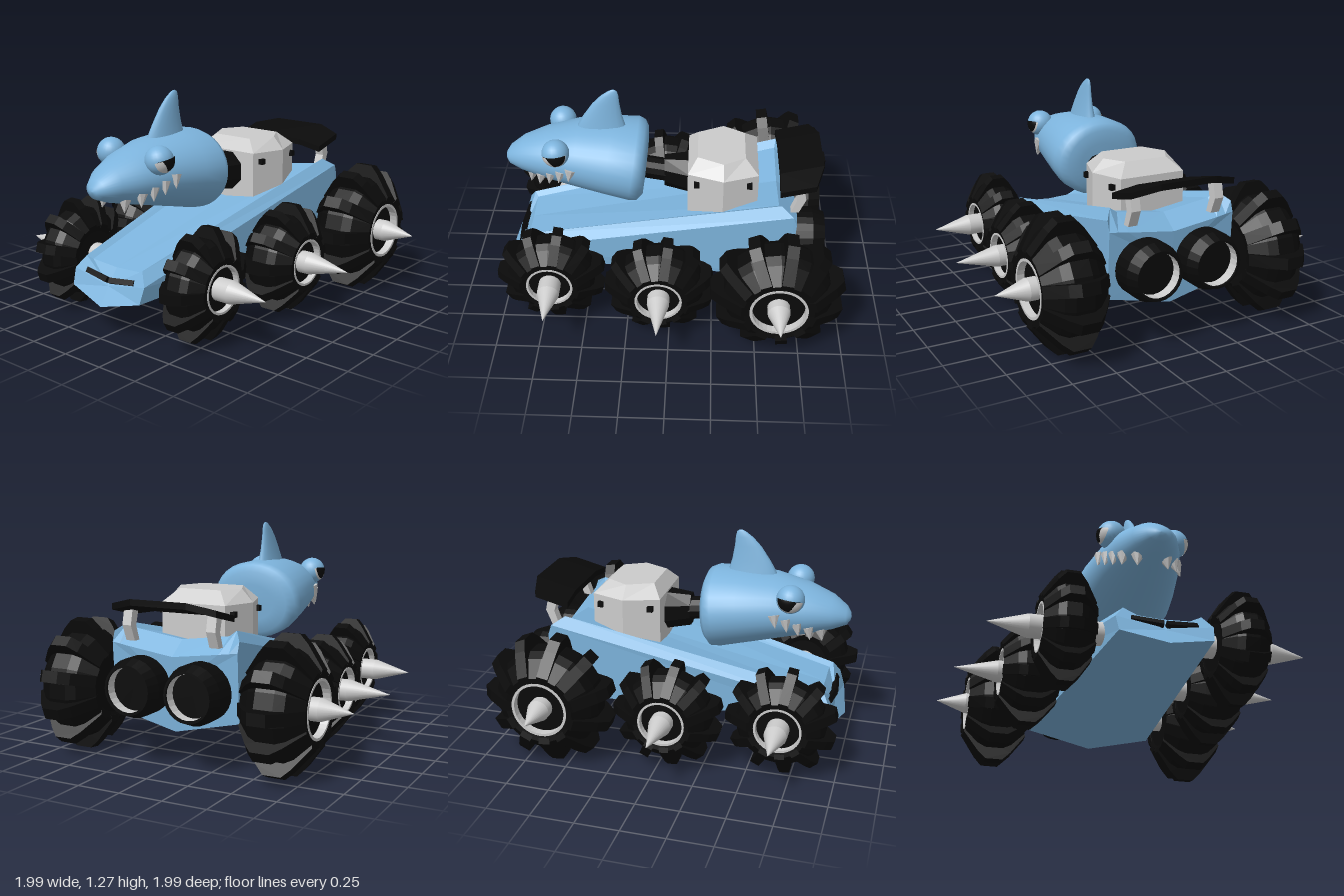
import * as THREE from 'three';

const BLUE = 0x7db4dd, BLACK = 0x0a0a0a;
const V = (x, y, z) => new THREE.Vector3(x, y, z);

const mat = (color = 0xcccccc, flat = true) =>
  new THREE.MeshStandardMaterial({ color, flatShading: flat, side: THREE.DoubleSide });
const GREY = mat(), SMOOTH_GREY = mat(0xcccccc, false), DARK = mat(BLACK), SKIN = mat(BLUE, false), PAINT = mat(BLUE);

function add(parent, name, geometry, material, x = 0, y = 0, z = 0) {
  const m = new THREE.Mesh(geometry, material);
  m.name = name;
  m.position.set(x, y, z);
  parent.add(m);
  return m;
}

// Skin over a series of rings that all have the same number of points
function loft(rings) {
  const n = rings[0].length, idx = [];
  for (let i = 0; i < rings.length - 1; i++) {
    for (let j = 0; j < n; j++) {
      const a = i * n + j, b = i * n + (j + 1) % n;
      idx.push(a, a + n, b, b, a + n, b + n);
    }
  }
  const g = new THREE.BufferGeometry().setFromPoints(rings.flat());
  g.setIndex(idx);
  g.computeVertexNormals();
  return g;
}
const point = (n, p) => Array.from({ length: n }, () => p.clone());

// Rod or cone between two points
function rod(parent, name, a, b, r0, r1, sides, material) {
  const d = b.clone().sub(a);
  const m = add(parent, name, new THREE.CylinderGeometry(r1, r0, d.length(), sides), material);
  m.position.copy(a).add(b).multiplyScalar(0.5);
  m.quaternion.setFromUnitVectors(V(0, 1, 0), d.normalize());
}

function buildHull() {
  const g = new THREE.Group();
  g.name = 'hull';
  // half section: keel, chine, side top, ridge, deck edge, deck centre
  const ring = (pts) => {
    const p = pts.map((c) => V(...c));
    return [...p, ...p.slice(1, 5).reverse().map((q) => V(q.x, q.y, -q.z))];
  };
  const front = ring([[-0.99, 0.18, 0], [-0.95, 0.24, 0.25], [-0.92, 0.33, 0.26], [-0.88, 0.4, 0.21], [-0.86, 0.38, 0.18], [-0.86, 0.37, 0]]);
  const rear = ring([[0.7, 0.18, 0], [0.7, 0.27, 0.39], [0.7, 0.71, 0.39], [0.63, 0.755, 0.34], [0.62, 0.72, 0.29], [0.62, 0.68, 0]]);
  const crease = ring([[0.7, 0.18, 0], [0.7, 0.27, 0.39], [0.72, 0.65, 0.39], [0.725, 0.645, 0.34], [0.73, 0.637, 0.28], [0.73, 0.6, 0]]);
  add(g, 'hullShell', loft([point(10, V(-0.925, 0.28, 0)), front, rear, crease, point(10, V(0.715, 0.42, 0))]), PAINT);
  for (const s of [-1, 1]) {
    const slot = add(g, 'frontSlot', new THREE.BoxGeometry(0.04, 0.03, 0.17), DARK, -0.908, 0.318, s * 0.092);
    slot.rotation.set(s * -0.1, s * 0.1, -0.5);
  }
  return g;
}

function buildWheel(R, H, axleFrom, spikeFrom, spikeTip) {
  const g = new THREE.Group();
  const lathe = (pts, seg) => new THREE.LatheGeometry(pts.map(([r, y]) => new THREE.Vector2(r * R, y * H)), seg).rotateX(Math.PI / 2);
  add(g, 'tyre', lathe([[0, -0.9], [0.42, -0.9], [0.52, -0.97], [0.74, -0.55], [0.81, -0.28], [0.81, 0.28], [0.74, 0.55],
    [0.52, 0.97], [0.42, 0.93], [0.42, 0.72], [0, 0.72]], 22), DARK);
  add(g, 'rimRing', lathe([[0.43, 0.72], [0.43, 0.95], [0.39, 0.95], [0.39, 0.72]], 32), GREY);
  // Tread lugs follow the bevelled tyre section
  const section = new THREE.Shape([[0.46, -0.95], [0.55, -1], [0.87, -0.53], [1, -0.27], [1, 0.27], [0.87, 0.53], [0.55, 1], [0.46, 0.95]]
    .map(([r, y]) => new THREE.Vector2(r * R, y * H)));
  const count = 11, w = R * 0.175;
  const lug = new THREE.ExtrudeGeometry(section, { depth: w, bevelEnabled: false }).rotateX(Math.PI / 2).translate(0, w / 2, 0);
  for (let i = 0; i < count; i++) {
    add(g, 'treadLug', lug, DARK).rotation.z = (i + 0.45) * Math.PI * 2 / count;
  }
  rod(g, 'axle', V(0, 0, axleFrom), V(0, 0, spikeFrom), 0.063, 0.063, 24, SMOOTH_GREY);
  rod(g, 'hubSpike', V(0, 0, spikeFrom), V(0, 0, spikeTip), 0.063, 0.001, 24, SMOOTH_GREY);
  return g;
}

function buildHead() {
  const g = new THREE.Group();
  g.name = 'head';
  g.position.z = -0.035;
  const n = 32;
  // top x, top y, bottom x, bottom y, half width
  const stations = [
    [-0.985, 0.835, -0.985, 0.79, 0.03], [-0.96, 0.872, -0.965, 0.765, 0.07], [-0.88, 0.93, -0.89, 0.735, 0.125],
    [-0.74, 0.985, -0.76, 0.7, 0.185], [-0.55, 1.03, -0.6, 0.66, 0.235], [-0.35, 1.04, -0.4, 0.61, 0.273],
    [-0.2, 1.037, -0.265, 0.575, 0.29], [-0.16, 1.02, -0.215, 0.567, 0.27], [-0.142, 0.98, -0.177, 0.6, 0.225], [-0.142, 0.9, -0.166, 0.68, 0.14],
  ].map(([tx, ty, bx, by, w]) => Array.from({ length: n }, (_, i) => {
    const a = i / n * Math.PI * 2, c = -Math.cos(a) / 2;
    return V((tx + bx) / 2 + (tx - bx) * c, (ty + by) / 2 + (ty - by) * c, w * Math.sin(a));
  }));
  add(g, 'headShell', loft([point(n, V(-0.99, 0.812, 0)), ...stations, point(n, V(-0.153, 0.79, 0))]), SKIN);

  // Dorsal fin: height, rear x, front x, half thickness
  const fin = [[1.0, -0.265, -0.56, 0.055], [1.04, -0.275, -0.55, 0.047], [1.1, -0.292, -0.515, 0.036], [1.18, -0.305, -0.46, 0.025],
    [1.23, -0.309, -0.412, 0.018], [1.26, -0.316, -0.37, 0.011], [1.27, -0.33, -0.35, 0.003]]
    .map(([y, x1, x0, t]) => Array.from({ length: 16 }, (_, i) => {
      const a = i / 16 * Math.PI * 2;
      return V((x0 + x1) / 2 + (x1 - x0) / 2 * Math.cos(a), y, t * Math.sin(a));
    }));
  add(g, 'dorsalFin', loft([...fin, point(16, V(-0.342, 1.271, 0))]), SKIN);

  for (const s of [-1, 1]) {
    // Eye with a heavy lid: only the lower half of the white and pupil shows
    const eye = new THREE.Group();
    eye.name = 'eye';
    eye.position.set(-0.665, 0.95, s * 0.18);
    eye.rotation.set(s * -0.22, s * -0.1, 0.12);
    add(eye, 'eyeLid', new THREE.SphereGeometry(0.08, 24, 16), SKIN);
    const cap = (r, angle) => new THREE.SphereGeometry(r, 20, 8, s > 0 ? 0 : Math.PI, Math.PI, 0, angle).rotateX(s * Math.PI / 2);
    add(eye, 'eyeWhite', cap(0.081, 1.05), SMOOTH_GREY);
    add(eye, 'pupil', cap(0.083, 0.9), mat(BLACK, false), 0.004, 0.002, 0);
    g.add(eye);

    // Row of teeth along the jaw line
    for (let i = 0; i < 5; i++) {
      const t = i / 4, x = -0.825 + 0.245 * t, y = 0.735 + 0.11 * t;
      const z = s * (0.08 + 0.145 * Math.pow(t, 0.6));
      rod(g, 'tooth', V(x, y + 0.015, z * 0.97), V(x - 0.015, y - 0.055, z * 1.06), 0.036, 0.001, 8, GREY);
    }
  }
  return g;
}

function buildEngine() {
  const g = new THREE.Group();
  g.name = 'engine';
  const hex = (y, x0, x1, z, zm) => [[x1, z], [0.3, zm], [x0, z], [x0, -z], [0.3, -zm], [x1, -z]].map(([x, w]) => V(x, y, w));
  add(g, 'engineBlock', loft([hex(0.54, 0.095, 0.502, 0.2, 0.27), hex(0.86, 0.095, 0.502, 0.2, 0.27),
    hex(0.933, 0.15, 0.425, 0.13, 0.2), point(6, V(0.3, 0.933, 0))]), GREY);
  for (const s of [-1, 1]) {
    for (const x of [0.147, 0.45]) add(g, 'engineBolt', new THREE.BoxGeometry(0.032, 0.032, 0.04), DARK, x, 0.807, s * 0.22);
  }
  // Neck linking the engine to the head: an eight-sided collar and a rod
  const collar = (x, y, h, w) => Array.from({ length: 8 }, (_, i) => {
    const a = (i + 0.5) / 4 * Math.PI;
    return V(x, y - h * Math.cos(a), w * Math.sin(a));
  });
  add(g, 'neckCollar', loft([point(8, V(-0.045, 0.745, 0)), collar(-0.045, 0.745, 0.103, 0.07), collar(0.11, 0.735, 0.125, 0.125)]), DARK);
  rod(g, 'neckRod', V(-0.02, 0.745, 0), V(-0.17, 0.77, 0), 0.068, 0.068, 12, DARK);
  return g;
}

function buildTail() {
  const g = new THREE.Group();
  g.name = 'tail';
  // Spoiler blade: thick plank with shortened, slightly drooping ends
  const slice = ([z, x0, x1, drop]) => [[x0, 0], [x0, -0.035], [x1, -0.035], [x1, 0]]
    .map(([x, y]) => V(x, 0.857 + (x - 0.62) * 0.25 + y - drop, z));
  const blade = [[-0.32, 0.62, 0.82, 0.025], [-0.17, 0.625, 0.87, 0], [0.17, 0.625, 0.87, 0], [0.32, 0.62, 0.82, 0.025]].map(slice);
  add(g, 'spoilerBlade', loft([point(4, V(0.72, 0.84, -0.32)), ...blade, point(4, V(0.72, 0.84, 0.32))]), DARK);
  const strut = new THREE.Shape([[0.69, 0.67], [0.735, 0.67], [0.772, 0.76], [0.752, 0.85], [0.695, 0.84], [0.72, 0.755]]
    .map(([x, y]) => new THREE.Vector2(x, y)));
  const strutGeo = new THREE.ExtrudeGeometry(strut, { depth: 0.055, bevelEnabled: false });
  const pipe = (pts) => new THREE.LatheGeometry(pts.map(([r, y]) => new THREE.Vector2(r, y)), 24).rotateZ(-Math.PI / 2);
  for (const s of [-1, 1]) {
    add(g, 'spoilerStrut', strutGeo, GREY, 0, 0, s * 0.26 - 0.0275);
    // Hollow exhaust with a bright inner sleeve
    add(g, 'exhaustPipe', pipe([[0, 0.66], [0.165, 0.66], [0.165, 0.83], [0.138, 0.9], [0.125, 0.9], [0.125, 0.83], [0, 0.83]]), DARK, 0, 0.43, s * 0.185);
    add(g, 'exhaustSleeve', pipe([[0.123, 0.89], [0.123, 0.83]]), GREY, 0, 0.43, s * 0.185);
  }
  return g;
}

export function createModel() {
  const model = new THREE.Group();
  model.name = 'sharkBuggy';
  model.add(buildHull(), buildHead(), buildEngine(), buildTail());

  // name, x, y, radius, inner z, outer z, spike base z, spike tip z
  const wheels = [
    ['front', -0.685, 0.332, 0.311, 0.33, 0.61, 0.66, 0.87],
    ['middle', -0.055, 0.332, 0.311, 0.38, 0.71, 0.72, 0.96],
    ['rear', 0.615, 0.38, 0.378, 0.44, 0.82, 0.82, 0.995],
  ];
  for (const [name, x, y, R, z0, z1, base, tip] of wheels) {
    const mid = (z0 + z1) / 2;
    for (const s of [-1, 1]) {
      const w = buildWheel(R, (z1 - z0) / 2, 0.2 - mid, base - mid, tip - mid);
      w.name = name + 'Wheel';
      w.position.set(x, y, s * mid);
      if (s < 0) w.rotation.y = Math.PI;
      model.add(w);
    }
  }
  return model;
}
